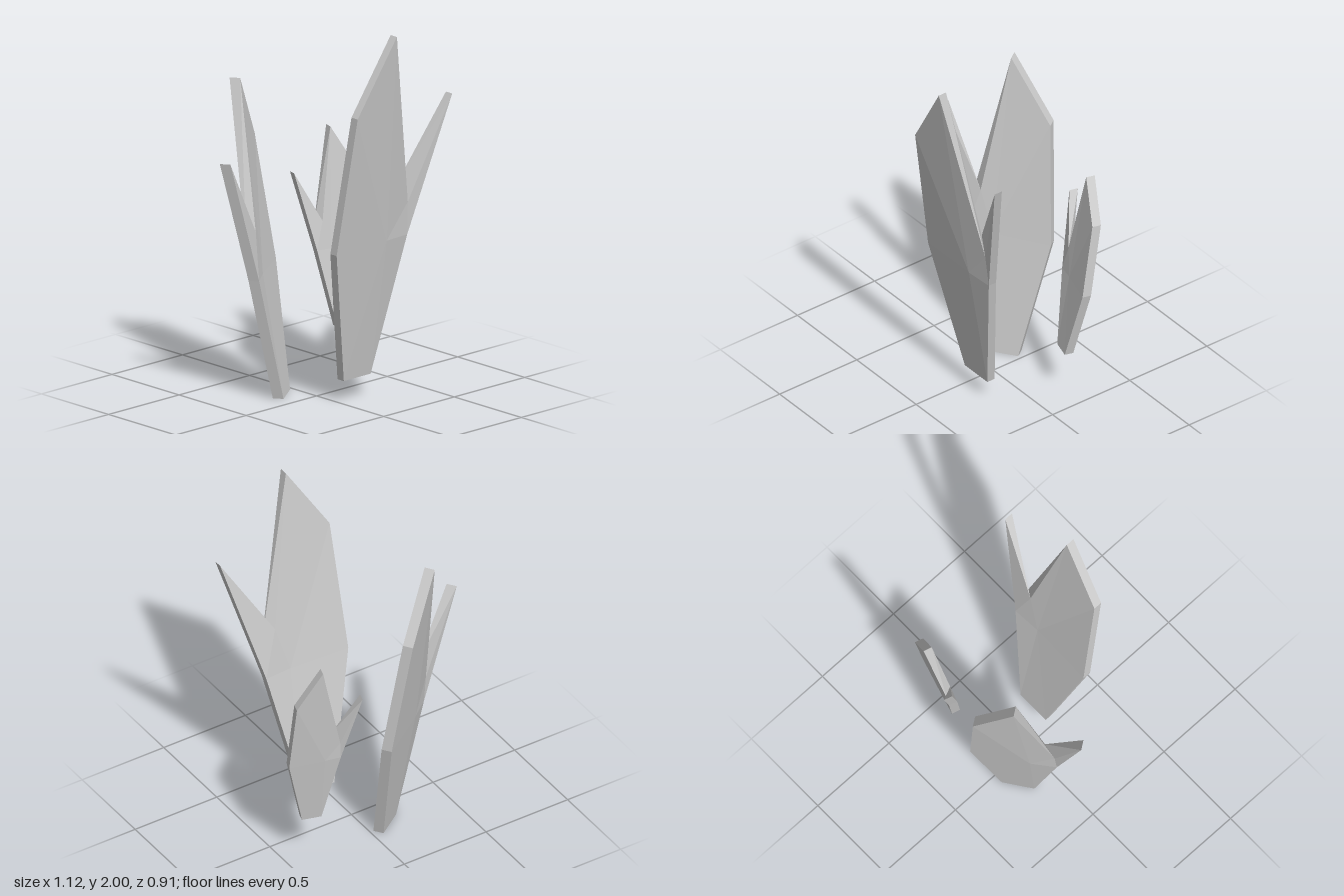
import * as THREE from 'three';

// Blade outline, counter-clockwise from the outer side, relative to the base centre.
const OUTLINE = [
  [-0.095, 0, 0], [0.095, 0, 0],   // foot
  [0.25, 0.74, 0.11],              // outer bend
  [0.455, 1.48, 0.23],             // side tip
  [0.175, 1.01, 0.145],            // notch
  [0.03, 1.88, 0.265],             // main tip
  [-0.215, 1.48, 0.23],            // shoulder
  [-0.255, 0.73, 0.115],           // inner bend
  [0.095, 0.74, 0.12],             // crease point inside the face
];
const FACE = [[0, 1, 8], [1, 2, 8], [0, 8, 7], [2, 4, 8], [2, 3, 4], [4, 5, 8], [5, 6, 8], [6, 7, 8]];
const SIDE_TIP = 3, NOTCH = 4, RIM = 8;

// A leaning, thick, flat-shaded blade with a split side tip.
function makeBlade(scale, depth, sideTip) {
  const back = OUTLINE.map(p => new THREE.Vector3(...p));
  back[SIDE_TIP].set(...sideTip);
  const front = back.map(p => p.clone());
  front[NOTCH].set(0.24, 0.92, 0.125); // the notch cuts deeper on the outer face
  back.forEach(p => p.multiplyScalar(scale));
  front.forEach(p => { p.multiplyScalar(scale); p.z += depth; });

  const verts = [];
  const tri = (...points) => points.forEach(p => verts.push(p.x, p.y, p.z));
  for (const [a, b, c] of FACE) {
    tri(front[a], front[b], front[c]);
    tri(back[c], back[b], back[a]);
  }
  for (let i = 0; i < RIM; i++) {
    const j = (i + 1) % RIM;
    tri(front[i], back[i], back[j]);
    tri(front[i], back[j], front[j]);
  }
  const geometry = new THREE.BufferGeometry();
  geometry.setAttribute('position', new THREE.Float32BufferAttribute(verts, 3));
  geometry.computeVertexNormals();
  return geometry;
}

export function createModel() {
  const group = new THREE.Group();
  group.name = 'bladeCluster';
  const material = new THREE.MeshStandardMaterial({ color: 0xcccccc, flatShading: true });
  const blades = [
    { name: 'frontBlade', scale: 1, depth: 0.047, sideTip: [0.455, 1.48, 0.23], at: [0.105, 0.12, 0.145], turn: 0 },
    { name: 'backRightBlade', scale: 0.9, depth: 0.056, sideTip: [0.42, 1.48, 0.243], at: [-0.09, 0, -0.128], turn: 215 },
    { name: 'backLeftBlade', scale: 0.55, depth: 0.047, sideTip: [0.42, 1.48, 0.25], at: [0.363, 0.265, -0.16], turn: 164 },
  ];
  for (const b of blades) {
    const mesh = new THREE.Mesh(makeBlade(b.scale, b.depth, b.sideTip), material);
    mesh.name = b.name;
    mesh.position.set(...b.at);
    mesh.rotation.y = THREE.MathUtils.degToRad(b.turn);
    group.add(mesh);
  }
  return group;
}
